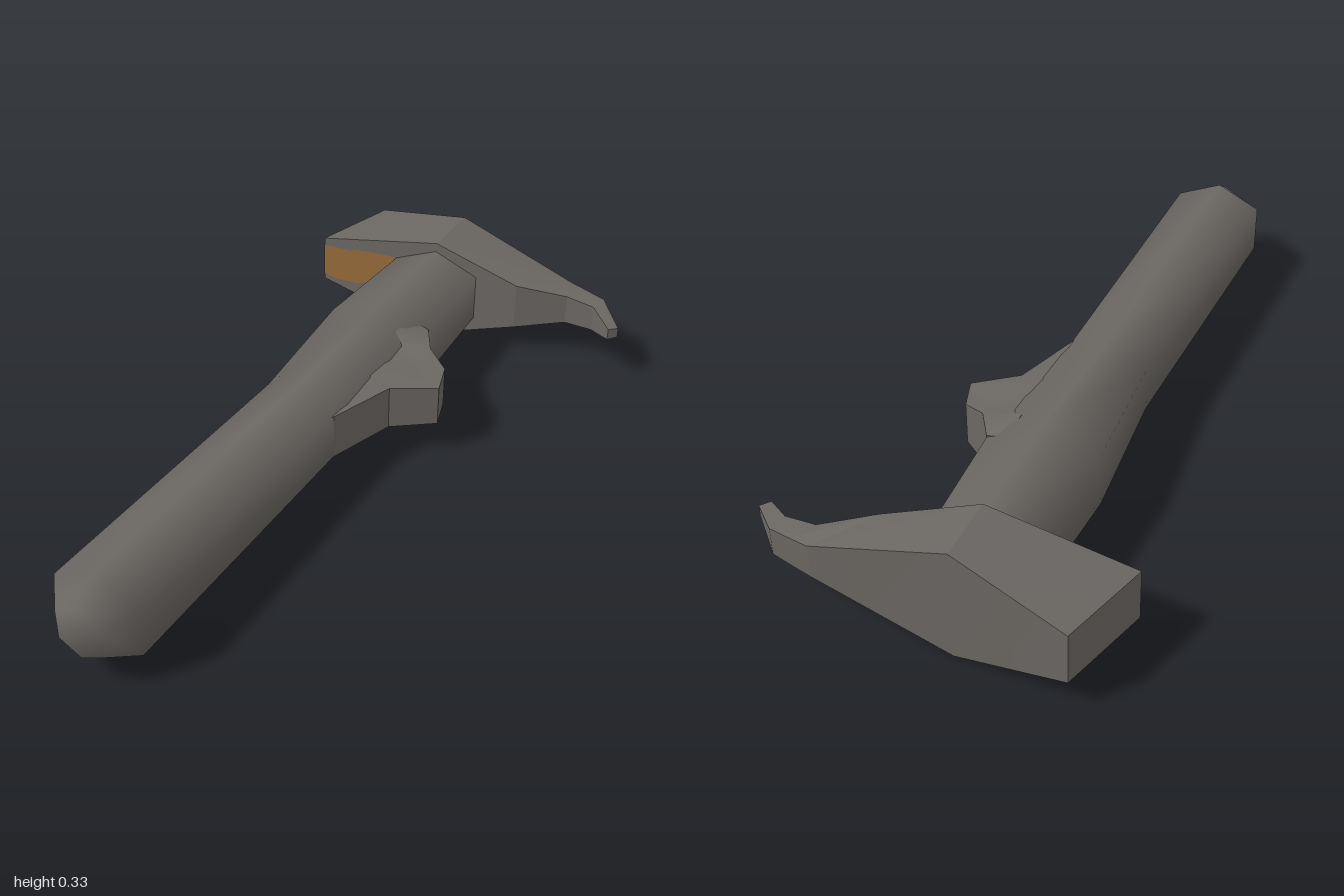
import * as THREE from 'three';
import { toCreasedNormals } from 'three/addons/utils/BufferGeometryUtils.js';

const CY = 0.17; // height of the horizontal mirror plane

// Joins rings of equal point count into a closed, outward-facing solid.
function loft(rings) {
  const n = rings[0].length;
  const pts = rings.flat();
  let tris = [];
  for (let r = 0; r < rings.length - 1; r++) {
    for (let i = 0; i < n; i++) {
      const a = r * n + i, b = r * n + (i + 1) % n;
      tris.push([a, b, b + n], [a, b + n, a + n]);
    }
  }
  const last = (rings.length - 1) * n;
  for (let i = 1; i < n - 1; i++) {
    tris.push([0, i + 1, i], [last, last + i, last + i + 1]);
  }
  const v = pts.map((p) => new THREE.Vector3(...p));
  const volume = tris.reduce((s, [a, b, c]) => s + v[a].dot(v[b].clone().cross(v[c])), 0);
  if (volume < 0) tris = tris.map(([a, b, c]) => [a, c, b]);
  const geo = new THREE.BufferGeometry();
  geo.setAttribute('position', new THREE.Float32BufferAttribute(pts.flat(), 3));
  geo.setIndex(tris.flat());
  geo.computeVertexNormals();
  return geo;
}

export function createModel() {
  const group = new THREE.Group();
  const steel = new THREE.MeshStandardMaterial({ color: 0x6b6763 });
  steel.name = 'dark steel';
  const rust = new THREE.MeshStandardMaterial({ color: 0x966a3a });
  rust.name = 'rust orange';

  const add = (name, geo, mat) => {
    const mesh = new THREE.Mesh(geo, mat);
    mesh.name = name;
    group.add(mesh);
  };

  // Handle: smooth six-sided shaft; z, left x, right x, half height
  const handle = [
    [1.0, -0.165, -0.035, 0.078],
    [0.92, -0.23, 0.027, 0.13],
    [0.0, -0.215, 0.022, 0.124],
    [-0.4, -0.247, 0.052, 0.148],
    [-0.8, -0.234, 0.03, 0.135],
    [-0.86, -0.22, 0.02, 0.12],
  ].map(([z, x0, x1, h]) => {
    const cx = (x0 + x1) / 2, s = h * 0.55;
    return [
      [cx, CY + h, z], [x1, CY + s, z], [x1, CY - s, z],
      [cx, CY - h, z], [x0, CY - s, z], [x0, CY + s, z],
    ];
  });
  add('handle', loft(handle), steel);

  // Grip spur: outer x and half height at each z, rooted inside the handle
  const spur = [
    [0.04, 0.02, 0.07, 0.07],
    [-0.16, 0.085, 0.068, 0.085],
    [-0.24, 0.2, 0.062, 0.088],
    [-0.33, 0.17, 0.063, 0.095],
    [-0.37, 0.1, 0.085, 0.11],
    [-0.45, 0.05, 0.085, 0.1],
  ].map(([z, x, h, root]) => [
    [-0.01, CY + root, z], [x, CY + h, z], [x, CY - h, z], [-0.01, CY - root, z],
  ]);
  add('gripSpur', toCreasedNormals(loft(spur), 0.6), steel);

  // Head: front x, z, half height, then back x, z, half height
  const head = [
    [-0.49, -0.745, 0.075, -0.415, -1.0, 0.075],
    [-0.1, -0.77, 0.165, -0.1, -0.955, 0.165],
    [0.16, -0.81, 0.075, 0.28, -0.955, 0.05],
    [0.3, -0.878, 0.047, 0.34, -0.943, 0.046],
    [0.39, -0.875, 0.041, 0.4, -0.93, 0.042],
    [0.465, -0.82, 0.018, 0.487, -0.845, 0.016],
  ].map(([fx, fz, fh, bx, bz, bh]) => [
    [fx, CY + fh, fz], [bx, CY + bh, bz], [bx, CY - bh, bz], [fx, CY - fh, fz],
  ]);
  add('head', toCreasedNormals(loft(head), 0.15), steel);

  // Ragged rust patch lying on the sloping front face of the head
  const outline = [
    [-0.489, 0.115], [-0.455, 0.107], [-0.41, 0.109], [-0.365, 0.113],
    [-0.345, 0.122], [-0.3, 0.128], [-0.285, 0.14], [-0.25, 0.155],
    [-0.21, 0.165], [-0.21, 0.245], [-0.25, 0.247], [-0.32, 0.242],
    [-0.375, 0.235], [-0.395, 0.226], [-0.45, 0.225], [-0.489, 0.222],
  ].map(([x, y]) => new THREE.Vector2(x, y));
  const patch = new THREE.ShapeGeometry(new THREE.Shape(outline));
  const pos = patch.attributes.position;
  for (let i = 0; i < pos.count; i++) {
    pos.setZ(i, -0.742 - 0.064 * (pos.getX(i) + 0.49));
  }
  patch.computeVertexNormals();
  add('rustPatch', patch, rust);

  return group;
}
